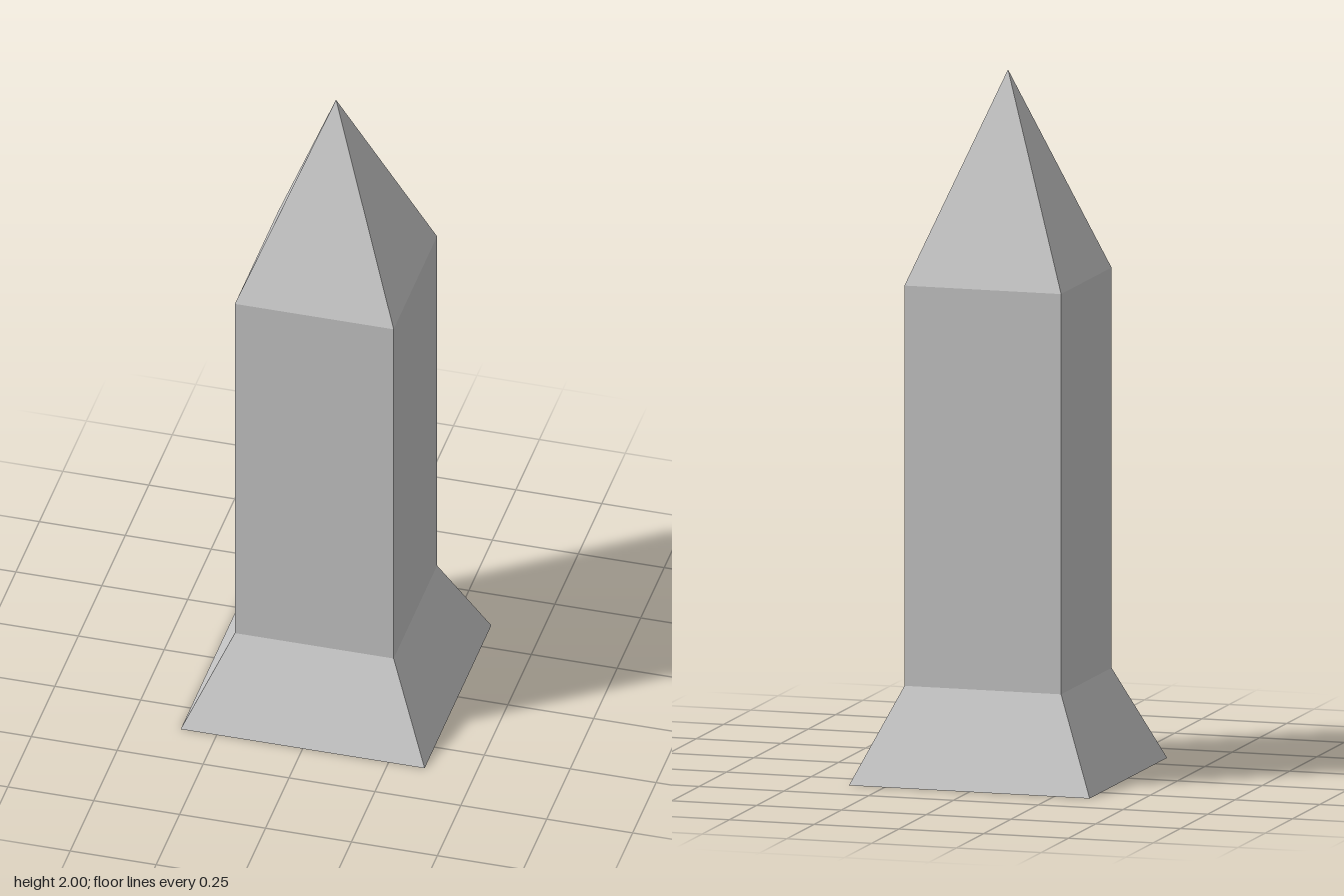
import * as THREE from 'three';

const BASE = 0.355, SHAFT = 0.231;           // half widths
const BASE_TOP = 0.27, SHAFT_TOP = 1.41, TIP = 2;

// Square section swept up a profile of [half width, height] points
function squarePart(name, profile, material) {
  const points = profile.map(([half, y]) => new THREE.Vector2(half * Math.SQRT2, y));
  const mesh = new THREE.Mesh(new THREE.LatheGeometry(points, 4, Math.PI / 4), material);
  mesh.name = name;
  return mesh;
}

export function createModel() {
  const group = new THREE.Group();
  group.name = 'obelisk';
  const material = new THREE.MeshStandardMaterial({ color: 0xcccccc, flatShading: true });

  group.add(
    // Flared foot, closed underneath
    squarePart('base', [[0, 0], [BASE, 0], [SHAFT, BASE_TOP]], material),
    // Straight square pillar
    squarePart('shaft', [[SHAFT, BASE_TOP], [SHAFT, SHAFT_TOP]], material),
    // Pyramid tip
    squarePart('pyramidTop', [[SHAFT, SHAFT_TOP], [0, TIP]], material),
  );
  return group;
}
